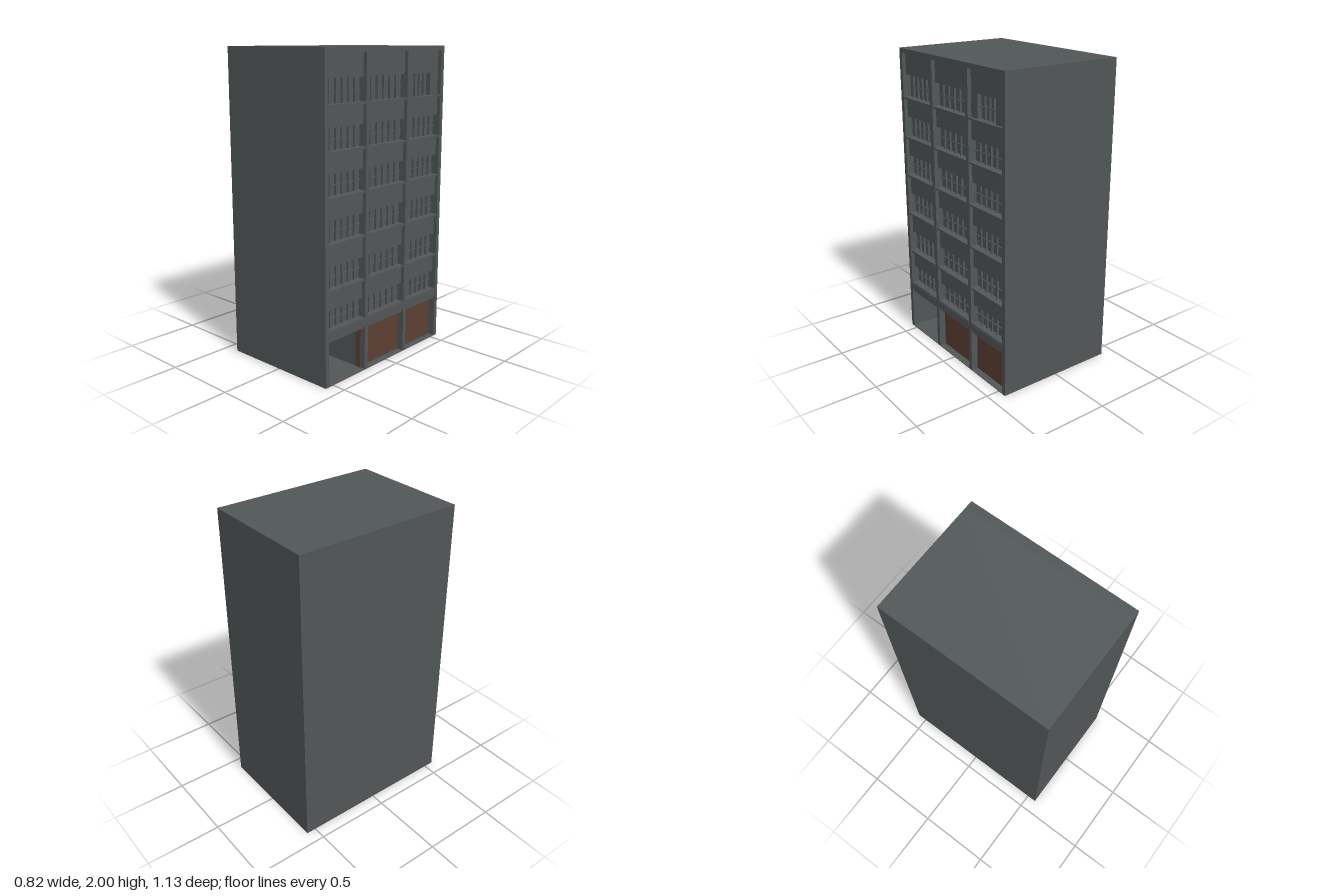
import * as THREE from 'three';

export function createModel() {
  const root = new THREE.Group();
  root.name = 'officeBlock';
  const concrete = new THREE.MeshStandardMaterial({ color: 0x515656 });
  concrete.name = 'grey concrete';
  const brown = new THREE.MeshStandardMaterial({ color: 0x5c4033 });
  brown.name = 'brown shutter';

  // box given by its limits along each axis
  const box = (name, x0, x1, y0, y1, z0, z1, mat = concrete) => {
    const m = new THREE.Mesh(new THREE.BoxGeometry(x1 - x0, y1 - y0, z1 - z0), mat);
    m.position.set((x0 + x1) / 2, (y0 + y1) / 2, (z0 + z1) / 2);
    m.name = name;
    root.add(m);
  };

  const X = 0.41, Z = 0.565, H = 2;
  const panelX = 0.385, glassX = 0.355, doorX = 0.365;
  const bays = [[0.21, 0.535], [-0.18, 0.18], [-0.535, -0.207]];
  const windows = [[0.35, 0.472], [0.60, 0.737], [0.88, 1.017], [1.155, 1.288], [1.42, 1.553], [1.685, 1.83]];

  // main volume, with an open entrance in the front ground-floor corner
  box('upperCore', -X, glassX, 0.297, H, -Z, Z);
  box('groundCore', -X, doorX - 0.004, 0, 0.297, -Z, 0.21);
  box('entranceBackWall', -X, 0.08, 0, 0.297, 0.21, Z);
  box('entranceSideWall', 0.08, X, 0, 0.297, 0.535, Z);
  box('groundSlab', -X, X, 0, 0.004, -Z, Z);

  // facade frame
  [[0.535, Z], [0.18, 0.21], [-0.207, -0.18], [-Z, -0.535]].forEach(([a, b]) =>
    box('pier', glassX, X, 0, H, a, b));
  box('topBand', glassX, X, 1.97, H, -Z, Z);
  box('groundBand', glassX, X, 0.297, 0.34, -Z, Z);

  bays.forEach(([z0, z1], bay) => {
    box('lintel', glassX, X - 0.012, 0.276, 0.297, z0, z1);
    // spandrels fill the wall between the window rows
    windows.forEach(([y0, y1], i) => {
      const next = i < windows.length - 1 ? windows[i + 1][0] - 0.012 : 1.97;
      box('spandrel', glassX, panelX, y1, next, z0, z1);
      box('sill', glassX, X - 0.003, y0 - 0.012, y0, z0, z1);

      // window bars; the last top window is narrower
      const narrow = bay === 2 && i === 5;
      const a = narrow ? -0.45 : z0, b = narrow ? -0.27 : z1;
      if (narrow) {
        box('windowSurround', glassX, panelX, y0, y1, z0, a);
        box('windowSurround', glassX, panelX, y0, y1, b, z1);
      }
      const panes = narrow ? 4 : 6;
      for (let k = 1; k < panes; k++) {
        const z = a + (b - a) * k / panes;
        box('mullion', glassX, glassX + 0.014, y0, y1, z - 0.004, z + 0.004);
      }
      const mid = y0 + (y1 - y0) * 0.47;
      box('transom', glassX, glassX + 0.01, mid - 0.003, mid + 0.003, a, b);
    });
    // ground-floor shutters
    if (bay > 0) box('shutter', doorX - 0.004, doorX, 0.004, 0.276, z0, z1, brown);
  });
  // shutter return beside the entrance
  box('shutterReturn', doorX - 0.03, doorX + 0.01, 0.004, 0.276, 0.21, 0.213, brown);

  return root;
}
